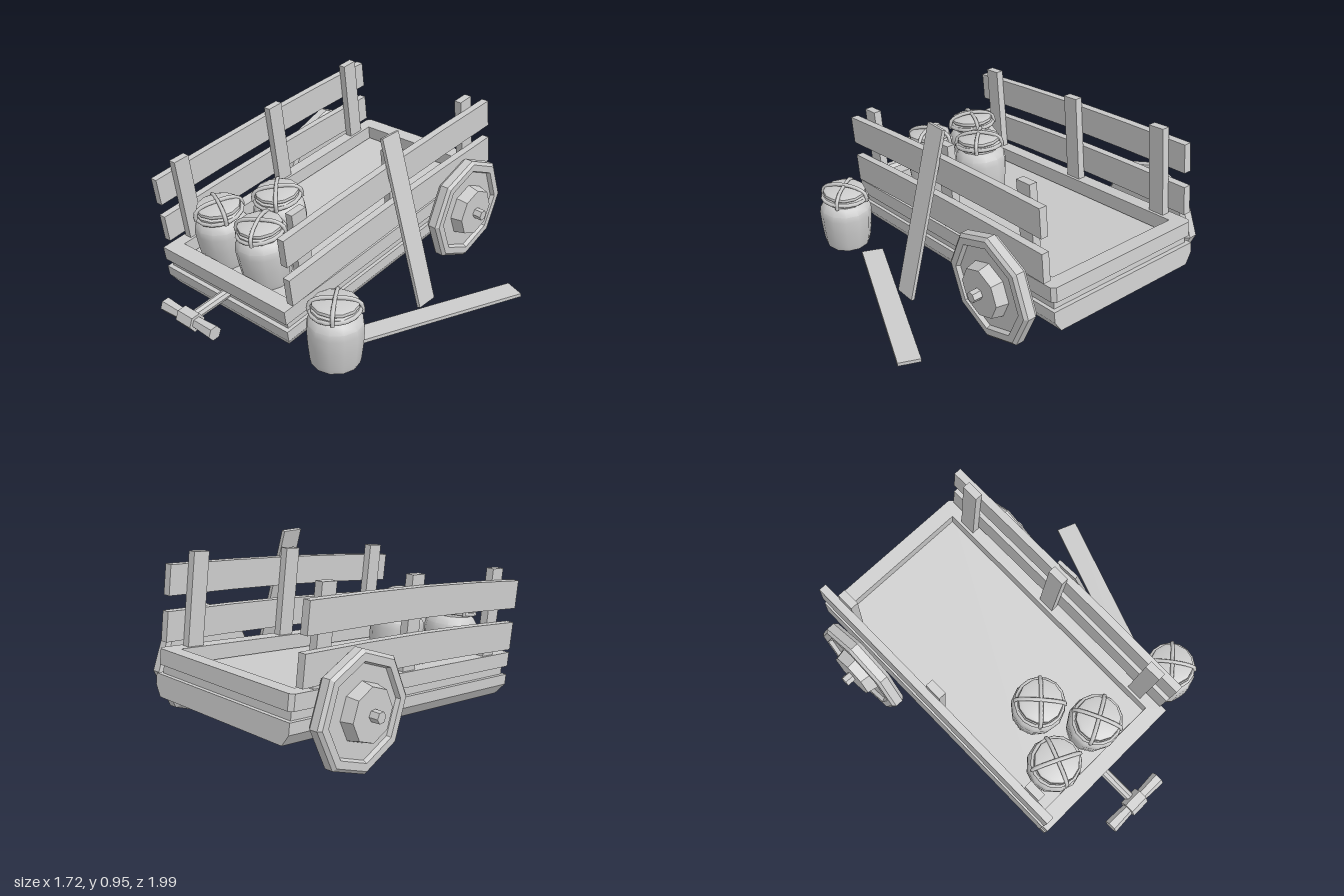
import * as THREE from 'three';
import { toCreasedNormals } from 'three/addons/utils/BufferGeometryUtils.js';

const smooth = new THREE.MeshStandardMaterial({ color: 0xcccccc, side: THREE.DoubleSide });
const flat = new THREE.MeshStandardMaterial({ color: 0xcccccc, flatShading: true });

const TILT = 0.135; // the cart rests nose-down

function add(parent, name, geometry, material = flat, pos = [0, 0, 0]) {
  const mesh = new THREE.Mesh(geometry, material);
  mesh.name = name;
  mesh.position.set(...pos);
  parent.add(mesh);
  return mesh;
}

// Long plank along z, slightly bowed upward in the middle
function plankGeometry(thickness, height, length, bow) {
  const g = new THREE.BoxGeometry(thickness, height, length, 1, 1, 4);
  const p = g.attributes.position;
  for (let i = 0; i < p.count; i++) {
    p.setY(i, p.getY(i) + bow * Math.cos((p.getZ(i) / length) * Math.PI));
  }
  return g;
}

// Tray with a tapered underside, a recessed groove and an open rim
function createBed() {
  const bed = new THREE.Group();
  bed.name = 'bed';
  const w = 0.935, back = -1.0, front = 0.715;
  const len = front - back, mid = (front + back) / 2;

  const tray = new THREE.BoxGeometry(w, 0.115, len, 1, 2, 1);
  const p = tray.attributes.position;
  for (let i = 0; i < p.count; i++) {
    if (p.getY(i) < -0.05) {
      p.setX(i, p.getX(i) * 0.92);
      if (p.getZ(i) > 0) p.setZ(i, p.getZ(i) - 0.03);
    }
  }
  add(bed, 'lowerTray', tray, flat, [0, 0.0575, mid]);
  add(bed, 'floor', new THREE.BoxGeometry(w - 0.04, 0.055, len - 0.05), flat, [0, 0.1275, mid]);

  // Rim outline in x / -z, extruded upward, with small cut corners at the back
  const h = w / 2, c = 0.02;
  const rim = new THREE.Shape([
    [-h, -front], [h, -front], [h, -back - c], [h - c, -back], [-h + c, -back], [-h, -back - c],
  ].map(([x, y]) => new THREE.Vector2(x, y)));
  rim.holes.push(new THREE.Path([
    [-0.395, -0.625], [-0.395, 0.915], [0.395, 0.915], [0.395, -0.625],
  ].map(([x, y]) => new THREE.Vector2(x, y))));
  const rimGeo = new THREE.ExtrudeGeometry(rim, { depth: 0.08, bevelEnabled: false });
  rimGeo.rotateX(-Math.PI / 2);
  add(bed, 'rim', rimGeo, flat, [0, 0.162, 0]);
  return bed;
}

// Posts and two planks on one side
function createSide(s) {
  const side = new THREE.Group();
  side.name = s > 0 ? 'leftSide' : 'rightSide';
  for (const z of [-0.81, -0.175, 0.52]) {
    add(side, 'post', new THREE.BoxGeometry(0.043, 0.5, 0.095), flat, [s * 0.432, 0.472, z]);
  }
  for (const y of [0.345, 0.578]) {
    add(side, 'sidePlank', plankGeometry(0.042, 0.155, 1.64, 0.014), flat, [s * 0.472, y, -0.145]);
  }
  return side;
}

// Eight-sided wheel with recessed face, hub and axle end; axis along x
function createWheel(s) {
  const wheel = new THREE.Group();
  wheel.name = s > 0 ? 'leftWheel' : 'rightWheel';
  const profile = [[0, -0.04], [0.285, -0.04], [0.303, -0.02], [0.303, 0.025], [0.285, 0.04],
    [0.245, 0.04], [0.235, 0.018], [0, 0.018]].map(([r, y]) => new THREE.Vector2(r, y));
  add(wheel, 'rim', new THREE.LatheGeometry(profile, 8));
  add(wheel, 'hub', new THREE.CylinderGeometry(0.135, 0.15, 0.065, 8), flat, [0, 0.05, 0]);
  add(wheel, 'axleEnd', new THREE.CylinderGeometry(0.03, 0.03, 0.22, 6), flat, [0, 0.022, 0]);
  wheel.rotation.set(0, 0, -s * Math.PI / 2 - 0.03);
  wheel.position.set(s * 0.55, 0.335, -0.615);
  return wheel;
}

// Pole with crossbar at the nose
function createHandle() {
  const handle = new THREE.Group();
  handle.name = 'pullHandle';
  const pole = new THREE.CylinderGeometry(0.027, 0.027, 0.28, 8).rotateX(Math.PI / 2);
  add(handle, 'pole', pole, flat, [0, 0, -0.14]);
  const half = new THREE.CylinderGeometry(0.04, 0.032, 0.15, 6).rotateZ(Math.PI / 2);
  add(handle, 'grip', half, flat, [-0.115, 0, 0]);
  add(handle, 'grip', half.clone().rotateY(Math.PI), flat, [0.115, 0, 0]);
  add(handle, 'sleeve', new THREE.CylinderGeometry(0.05, 0.05, 0.11, 6).rotateZ(Math.PI / 2));
  handle.position.set(0, 0.13, 0.945);
  return handle;
}

// Lidded jar tied with rope
function createJar(turn) {
  const jar = new THREE.Group();
  jar.name = 'jar';
  const body = [[0, 0.02], [0.095, 0.02], [0.105, 0], [0.125, 0], [0.132, 0.03], [0.142, 0.12],
    [0.147, 0.2], [0.142, 0.235], [0.122, 0.265], [0.108, 0.275], [0.108, 0.3], [0, 0.3]];
  const lid = [[0.1, 0.285], [0.122, 0.29], [0.124, 0.31], [0.112, 0.318], [0.12, 0.325],
    [0.118, 0.34], [0.1, 0.348], [0, 0.35]];
  const lathe = (pts) => toCreasedNormals(
    new THREE.LatheGeometry(pts.map(([r, y]) => new THREE.Vector2(r, y)), 12), 0.6);
  add(jar, 'jarBody', lathe(body), smooth);
  add(jar, 'jarLid', lathe(lid), smooth);

  const ring = add(jar, 'neckRope', new THREE.TorusGeometry(0.125, 0.011, 6, 16), smooth, [0, 0.297, 0]);
  ring.rotation.set(Math.PI / 2 + 0.05, 0.06, 0);
  // Two ropes crossing over the lid
  for (let i = 0; i < 2; i++) {
    const path = new THREE.CatmullRomCurve3([[-0.132, 0.285], [-0.13, 0.325], [-0.09, 0.355],
      [0, 0.363 + i * 0.006], [0.09, 0.355], [0.13, 0.325], [0.132, 0.285]]
      .map(([x, y]) => new THREE.Vector3(x, y, 0)));
    const rope = add(jar, 'lidRope', new THREE.TubeGeometry(path, 16, 0.011, 6), smooth);
    rope.rotation.y = i * 1.5 + 0.7;
  }
  jar.rotation.y = turn;
  return jar;
}

export function createModel() {
  const model = new THREE.Group();
  model.name = 'handCart';

  const cart = new THREE.Group();
  cart.name = 'cart';
  cart.position.set(-0.183, 0, 0);
  model.add(cart);

  const body = new THREE.Group();
  body.name = 'tiltedBody';
  body.position.y = 0.116;
  body.rotation.x = TILT;
  cart.add(body);
  body.add(createBed(), createHandle());
  for (const s of [-1, 1]) {
    body.add(createSide(s));
    cart.add(createWheel(s));
  }

  // Load in the bed: x, z, turn
  for (const [x, z, turn] of [[-0.21, 0.49, 0.5], [0.103, 0.485, -0.2], [-0.05, 0.21, 0.1]]) {
    const jar = createJar(turn);
    jar.position.set(x, 0.155, z);
    body.add(jar);
  }

  // Jar on the ground
  const loose = createJar(0);
  loose.position.set(0.483, 0, 0.59);
  model.add(loose);

  // Fallen plank on the ground
  const fallen = add(model, 'fallenPlank', new THREE.BoxGeometry(0.12, 0.02, 0.965), flat, [0.625, 0.015, -0.07]);
  fallen.rotation.y = Math.atan2(-0.352, 0.898);

  // Plank leaning on the side
  const top = new THREE.Vector3(0.275, 0.945, -0.04);
  const foot = new THREE.Vector3(0.525, 0.025, -0.08);
  const leaning = add(model, 'leaningPlank',
    new THREE.BoxGeometry(0.02, top.distanceTo(foot), 0.125));
  leaning.position.copy(top).add(foot).multiplyScalar(0.5);
  leaning.quaternion.setFromUnitVectors(new THREE.Vector3(0, 1, 0), top.sub(foot).normalize());

  return model;
}
